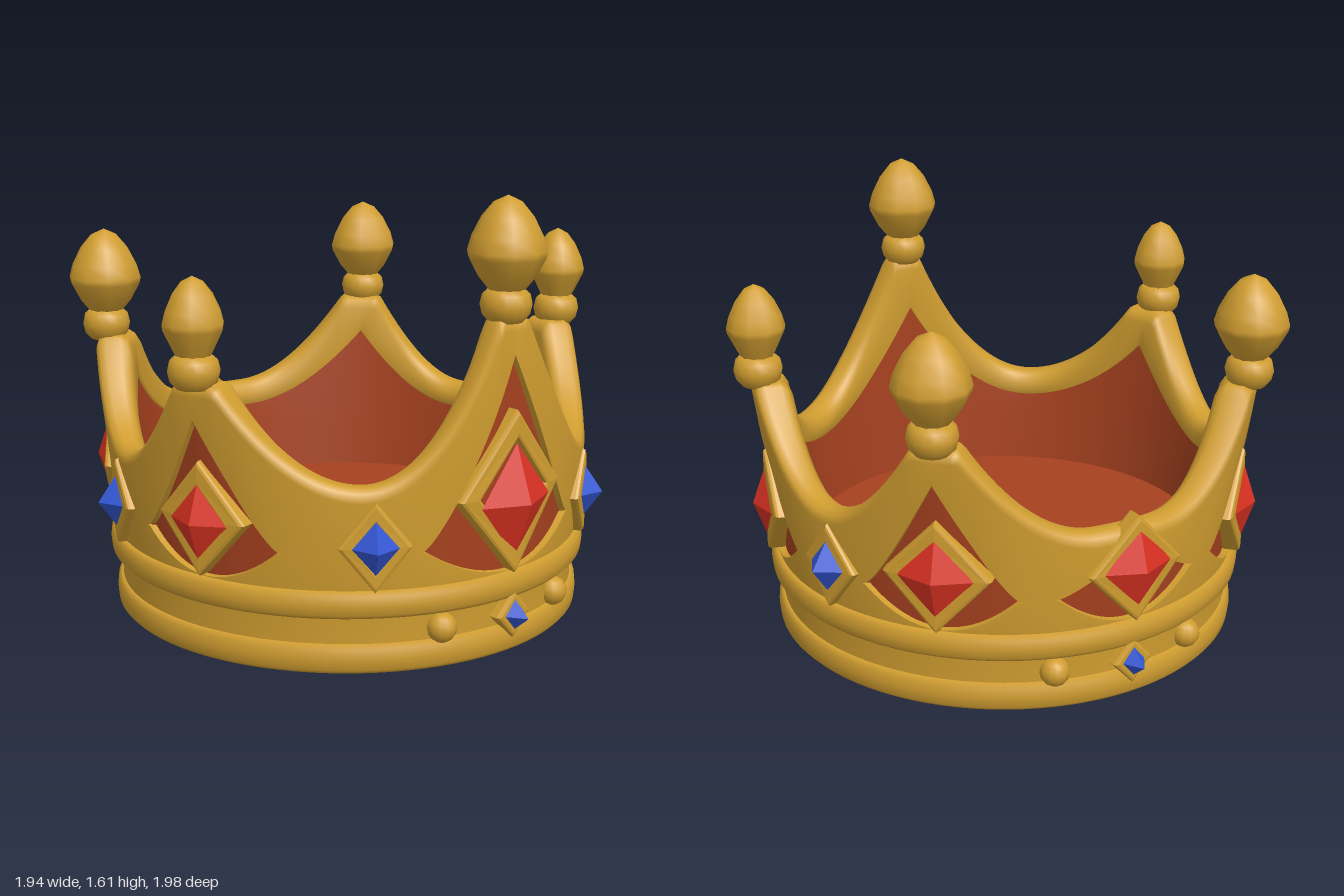
import * as THREE from 'three';

const mat = (name, color, side = THREE.FrontSide) => {
  const m = new THREE.MeshStandardMaterial({ color, side });
  m.name = name;
  return m;
};
const RAD = Math.PI / 180;
const COLS = 360;

// Each point of the crown: angle, rim height, neck radius, and its panel, gem and finial sizes
const POINTS = [
  { a: 0, rim: 1.2, apex: 1.35, r: 0.83, panelTop: 1.07, panelW: 0.41, gem: [0.56, 0.165, 0.205], frame: [0.59, 0.24, 0.288], bulb: [0.137, 0.33] },
  { a: 74, rim: 1.0, apex: 1.13, r: 0.925, panelTop: 0.87, panelW: 0.32, gem: [0.51, 0.122, 0.155], frame: [0.52, 0.178, 0.2], bulb: [0.107, 0.28] },
  { a: 135, rim: 1.0, apex: 1.13, r: 0.922, panelTop: 0.87, panelW: 0.32, gem: [0.52, 0.135, 0.168], frame: [0.52, 0.19, 0.205], bulb: [0.137, 0.32] },
  { a: 180, panelTop: 0.6, panelW: 0.32, gem: [0.515, 0.135, 0.165], frame: [0.51, 0.185, 0.195] },
];

// Signed angle folded to 0..PI, since the crown mirrors across z
const fold = (t) => Math.abs(Math.atan2(Math.sin(t), Math.cos(t)));

// Height of the swooping valleys and points, before the points are cut off at the necks
function swoopHeight(t) {
  const f = fold(t);
  let h = 0.66;
  POINTS.forEach((p, i) => {
    if (!p.rim) return;
    const d = f - p.a * RAD;
    const next = POINTS[d < 0 && i > 0 ? i - 1 : i + 1];
    const reach = Math.abs(next.a - p.a) * RAD * (next.rim ? 0.5 : 0.8);
    const k = Math.max(0, 1 - Math.abs(d) / reach);
    h = Math.max(h, 0.66 + (p.apex - 0.66) * k * k);
  });
  return h;
}
const rimHeight = (t) => Math.min(swoopHeight(t), fold(t) < 0.5 ? POINTS[0].rim : POINTS[1].rim);

// Outward lean of the wall, none at the tall point
const lean = (t, y) => Math.min(1, fold(t) / 0.6)
  * (0.03 * THREE.MathUtils.clamp((y - 0.3) / 0.36, 0, 1) + 0.14 * Math.max(0, y - 0.66));
const outer = (t, y) => 0.88 + lean(t, y);
const inner = (t, y) => 0.77 + 0.6 * lean(t, y);

// Lower and upper edge of the diamond panels; equal where there is no panel
function panelEdges(t) {
  const f = fold(t);
  for (const p of POINTS) {
    const k = Math.abs(f - p.a * RAD) / p.panelW;
    if (k < 1) return [0.305 + 0.125 * k * k, 0.43 + (p.panelTop - 0.43) * Math.pow(1 - k, 1.25)];
  }
  return [0.43, 0.43];
}

// Surface swept around y: section(t) gives [radius, height] points, from outside over the top
function loft(section) {
  const pos = [], idx = [];
  let n = 0;
  for (let i = 0; i < COLS; i++) {
    const t = (i / COLS) * Math.PI * 2;
    const pts = section(t);
    n = pts.length;
    for (const [r, y] of pts) pos.push(r * Math.cos(t), y, r * Math.sin(t));
  }
  for (let i = 0; i < COLS; i++) {
    for (let j = 0; j < n - 1; j++) {
      const a = i * n + j, b = ((i + 1) % COLS) * n + j;
      idx.push(a, a + 1, b, b, a + 1, b + 1);
    }
  }
  const g = new THREE.BufferGeometry();
  g.setAttribute('position', new THREE.Float32BufferAttribute(pos, 3));
  g.setIndex(idx);
  g.computeVertexNormals();
  return g;
}

const lathe = (pts, seg) => new THREE.LatheGeometry(pts.map(([x, y]) => new THREE.Vector2(x, y)), seg);

function diamond(Type, w, h) {
  const s = new Type();
  s.moveTo(w, 0); s.lineTo(0, h); s.lineTo(-w, 0); s.lineTo(0, -h); s.closePath();
  return s;
}

// Bevelled diamond ring, bent to follow the wall
function frameGeometry(w, h, band) {
  const b = 0.012;
  const s = diamond(THREE.Shape, w - b, h - b);
  s.holes.push(diamond(THREE.Path, w - band, h - band * h / w));
  const g = new THREE.ExtrudeGeometry(s, { depth: 0.05, bevelSize: b, bevelThickness: b, bevelSegments: 2 });
  const p = g.attributes.position;
  for (let i = 0; i < p.count; i++) p.setZ(i, p.getZ(i) - (p.getX(i) ** 2) / 1.9);
  g.computeVertexNormals();
  return g;
}

export function createModel() {
  const gold = mat('gold', 0xd09d30, THREE.DoubleSide);
  const lining = mat('red lining', 0xa6411f, THREE.DoubleSide);
  const ruby = mat('ruby', 0xdb3222);
  const sapphire = mat('sapphire', 0x3357d4);
  const crown = new THREE.Group();
  crown.name = 'crown';

  const add = (name, geo, material, parent = crown) => {
    const m = new THREE.Mesh(geo, material);
    m.name = name;
    parent.add(m);
    return m;
  };
  // Put an object on the wall with its local z facing outwards
  const place = (o, t, r, y) => {
    o.position.set(r * Math.cos(t), y, r * Math.sin(t));
    o.rotation.y = Math.PI / 2 - t;
  };

  // Wall below the panels, with the step into each recess
  const recess = 0.025;
  add('lowerWall', loft((t) => {
    const [lo] = panelEdges(t);
    return [[0.865, 0.05], [0.865, 0.22], [outer(t, 0.28), 0.28], [outer(t, lo), lo]];
  }), gold);
  const ledge = (k) => (t) => {
    const e = panelEdges(t), y = e[k], d = e[1] - e[0] > 0.001 ? recess : 0;
    const a = [outer(t, y), y], b = [outer(t, y) - d, y];
    return k ? [b, a] : [a, b];
  };
  add('panelLowerEdge', loft(ledge(0)), gold);
  add('panelUpperEdge', loft(ledge(1)), gold);
  add('redPanels', loft((t) => panelEdges(t).map((y) => [outer(t, y) - recess, y])), lining);

  // Wall above the panels, rounded over the rim and down to the lining
  const liningTop = (t) => {
    const h = swoopHeight(t);
    return h - 0.09 - 0.38 * (h - 0.66);
  };
  add('upperWallAndRim', loft((t) => {
    const h = rimHeight(t), hi = panelEdges(t)[1], top = liningTop(t);
    const o = outer(t, h), n = inner(t, h);
    return [
      [outer(t, hi), hi], [outer(t, h - 0.045), h - 0.045], [o - 0.015, h - 0.015], [o - 0.04, h],
      [n + 0.04, h], [n + 0.015, h - 0.015], [inner(t, h - 0.045), h - 0.045],
      [inner(t, top), top], [inner(t, top) + 0.02, top - 0.005],
    ];
  }), gold);
  add('innerLining', loft((t) => {
    const top = liningTop(t);
    return [[inner(t, top) + 0.015, top], [inner(t, 0.5) + 0.01, 0.5], [0.77, 0.27]];
  }), lining);

  // Floor and underside
  const floor = add('floor', new THREE.CircleGeometry(0.775, 96), lining);
  floor.rotation.x = -Math.PI / 2;
  floor.position.y = 0.28;
  const base = add('underside', new THREE.CircleGeometry(0.87, 96), gold);
  base.rotation.x = Math.PI / 2;
  base.position.y = 0.004;

  // Two rounded bands around the base
  const band = (r, y0, y1) => lathe([
    [r - 0.06, y0], [r - 0.018, y0], [r - 0.004, y0 + 0.015], [r, (y0 + y1) / 2],
    [r - 0.004, y1 - 0.015], [r - 0.018, y1], [r - 0.06, y1],
  ], 96);
  add('lowerBand', band(0.888, 0, 0.105), gold);
  add('upperBand', band(0.908, 0.205, 0.302), gold);

  // A faceted gem standing out of a diamond frame
  const jewel = (name, t, material, [gy, gw, gh], [fy, fw, fh], tip, ringW) => {
    const wall = outer(t, fy);
    const frame = add(name + 'Frame', frameGeometry(fw, fh, ringW), gold);
    place(frame, t, wall - 0.035, fy);
    const gem = add(name, new THREE.OctahedronGeometry(1), material);
    gem.scale.set(gw, gh, tip - wall - 0.018);
    place(gem, t, wall + 0.018, gy);
  };

  for (const p of POINTS) {
    const sides = p.a % 180 ? [1, -1] : [1];
    for (const s of sides) {
      const t = s * p.a * RAD;
      jewel('redGem', t, ruby, p.gem, p.frame, 0.972, 0.065);
      if (!p.bulb) continue;

      // Collar and onion-shaped finial
      const [w, h] = p.bulb;
      const finial = new THREE.Group();
      finial.name = 'finial';
      place(finial, t, p.r, p.rim);
      crown.add(finial);
      add('collar', lathe([
        [0, -0.02], [0.06, -0.02], [0.082, 0.005], [0.09, 0.04], [0.082, 0.075], [0.06, 0.095], [0, 0.095],
      ], 16), gold, finial);
      add('bulb', lathe([
        [0.055, 0], [w * 0.72, 0.16 * h], [w * 0.97, 0.36 * h], [w, 0.43 * h], [w * 0.9, 0.58 * h],
        [w * 0.66, 0.78 * h], [w * 0.36, 0.93 * h], [0, h],
      ], 10), gold, finial).position.y = 0.08;
    }
  }

  // Blue gems in the valleys
  for (const a of [34.5, 107, -34.5, -107]) {
    jewel('blueGem', a * RAD, sapphire, [0.462, 0.087, 0.105], [0.462, 0.125, 0.155], 0.985, 0.045);
  }

  // Small blue gem and a pair of studs at each end of the base
  for (const a of [0, Math.PI]) {
    jewel('baseGem', a, sapphire, [0.145, 0.05, 0.062], [0.145, 0.075, 0.082], 0.972, 0.03);
    for (const s of [-1, 1]) {
      const stud = add('stud', new THREE.SphereGeometry(0.054, 12, 8), gold);
      place(stud, a + s * 0.325, 0.872, 0.145);
    }
  }
  return crown;
}
